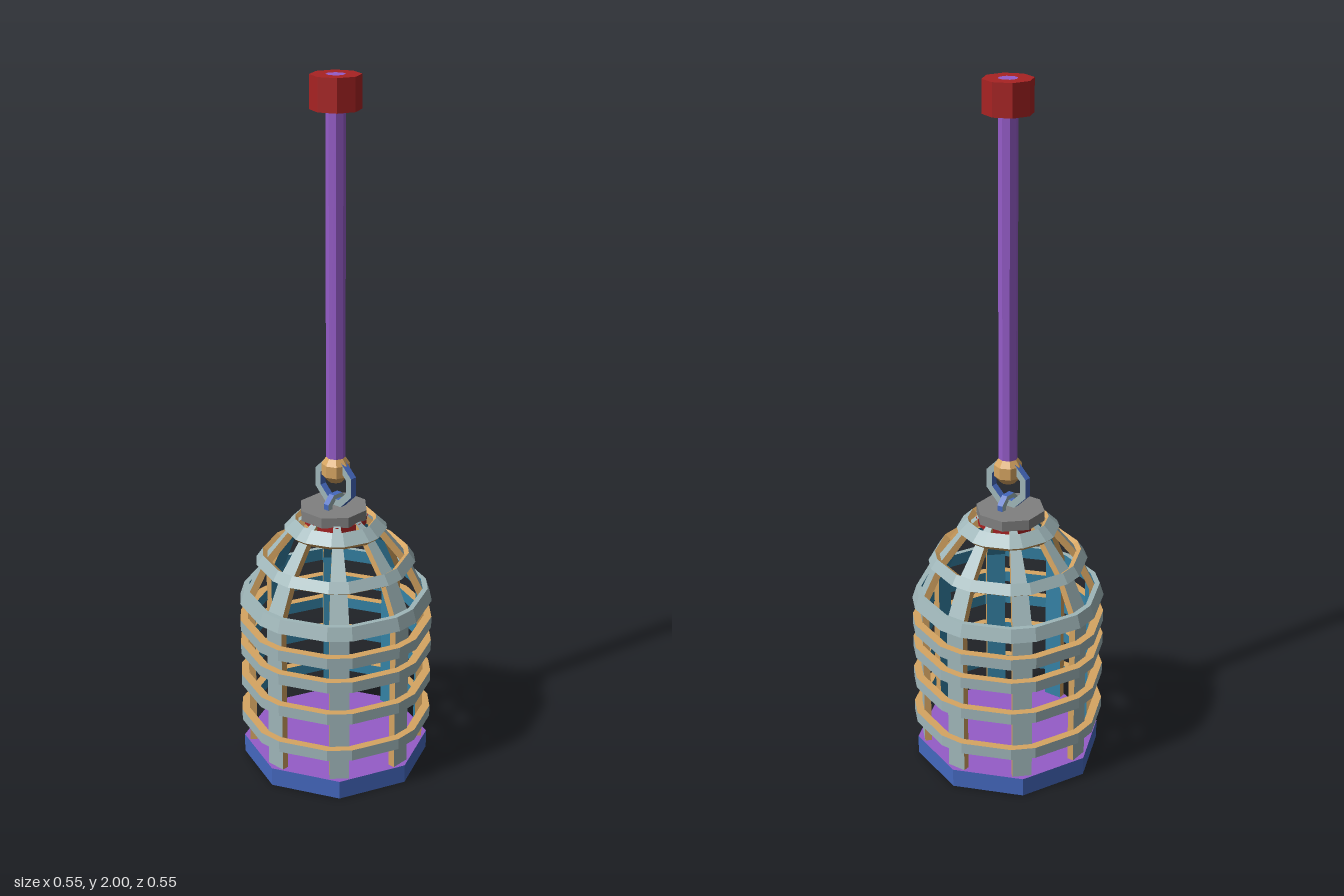
import * as THREE from 'three';

const mat = (name, color) => {
  const m = new THREE.MeshStandardMaterial({ color, flatShading: true });
  m.name = name;
  return m;
};

// Skin four-point sections into a bar; side j gets material j
function loft(sections, closed) {
  const pos = [];
  const geo = new THREE.BufferGeometry();
  const n = sections.length;
  const last = closed ? n : n - 1;
  for (let j = 0; j < 4; j++) {
    const start = pos.length / 3;
    const k = (j + 1) % 4;
    for (let i = 0; i < last; i++) {
      const s = sections[i], t = sections[(i + 1) % n];
      for (const p of [s[j], t[j], t[k], s[j], t[k], s[k]]) pos.push(...p);
    }
    geo.addGroup(start, pos.length / 3 - start, j);
  }
  geo.setAttribute('position', new THREE.Float32BufferAttribute(pos, 3));
  geo.computeVertexNormals();
  return geo;
}

// Ring around y from a profile: outer bottom, outer top, inner top, inner bottom
const ring = (profile, angles) => loft(angles.map((a) =>
  profile.map(([r, y]) => [r * Math.sin(a), y, r * Math.cos(a)])), true);

export function createModel() {
  const model = new THREE.Group();
  const steel = mat('pale steel', 0x9fb6b9);
  const tan = mat('tan', 0xd6a562);
  const teal = mat('teal', 0x3583a6);
  const purple = mat('purple', 0x955cc8);
  const red = mat('red', 0xa82323);
  const blue = mat('blue', 0x4468be);
  const grey = mat('grey', 0x808080);

  const add = (name, geo, material, y = 0, parent = model) => {
    const m = new THREE.Mesh(geo, material);
    m.name = name;
    m.position.y = y;
    parent.add(m);
    return m;
  };
  const prism = (r, h) => new THREE.CylinderGeometry(r, r, h, 8);

  // Base with purple floor and underside
  add('base', prism(0.27, 0.055), [blue, purple, purple], 0.0275);

  // Eight upright bars bending into a dome: outer radius, height, width, inner radius, inner height
  const path = [
    [0.253, 0.05, 0.056, 0.233, 0.05],
    [0.253, 0.525, 0.056, 0.233, 0.52],
    [0.202, 0.635, 0.046, 0.185, 0.625],
    [0.118, 0.74, 0.028, 0.105, 0.725],
    [0.085, 0.765, 0.02, 0.072, 0.75],
  ];
  const barGeo = loft(path.map(([r, y, w, ri, yi]) => [
    [w / 2, y, r], [-w / 2, y, r], [-w / 2, yi, ri], [w / 2, yi, ri],
  ]), false);
  const bars = new THREE.Group();
  bars.name = 'cageBars';
  model.add(bars);
  for (let i = 0; i < 8; i++) {
    add('cageBar', barGeo, [steel, tan, teal, tan], 0, bars).rotation.y = i * Math.PI / 4;
  }

  // Hoops: octagons with a short flat over each bar
  const hoopAngles = [];
  for (let i = 0; i < 8; i++) hoopAngles.push(i * Math.PI / 4 - 0.127, i * Math.PI / 4 + 0.127);
  for (const y of [0.127, 0.244, 0.344, 0.419]) {
    add('hoop', ring([[0.277, y], [0.277, y + 0.033], [0.252, y + 0.033], [0.252, y]], hoopAngles),
      [steel, tan, teal, tan]);
  }
  add('shoulderHoop', ring([[0.277, 0.504], [0.265, 0.542], [0.25, 0.542], [0.252, 0.504]], hoopAngles),
    [steel, steel, teal, tan]);
  add('domeHoop', ring([[0.228, 0.625], [0.209, 0.653], [0.192, 0.641], [0.209, 0.614]], hoopAngles),
    [steel, tan, teal, tan]);
  add('upperHoop', ring([[0.146, 0.728], [0.115, 0.758], [0.102, 0.745], [0.132, 0.715]], hoopAngles),
    [steel, tan, teal, tan]);

  // Crown
  add('crownPlate', prism(0.092, 0.02), red, 0.752);
  const cap = add('crownCap', prism(0.099, 0.03), grey, 0.775);
  cap.rotation.y = Math.PI / 8;
  cap.position.z = -0.008;

  // Two interlocked links
  const linkAngles = Array.from({ length: 8 }, (_, i) => (i + 0.5) * Math.PI / 4);
  const link = (r, t) => ring([[r, -t / 2], [r, t / 2], [r - t, t / 2], [r - t, -t / 2]], linkAngles);
  const linkMats = [blue, steel, blue, steel];
  add('largeLink', link(0.073, 0.021), linkMats, 0.865).rotation.z = Math.PI / 2;
  add('smallLink', link(0.043, 0.018), linkMats, 0.79).rotation.x = Math.PI / 2;

  // Hanging pole with knob and ceiling mount
  const knob = [[0, 0.868], [0.022, 0.868], [0.04, 0.888], [0.04, 0.922], [0.026, 0.942], [0, 0.942]];
  add('poleKnob', new THREE.LatheGeometry(knob.map(([x, y]) => new THREE.Vector2(x, y)), 8), tan);
  add('pole', prism(0.027, 1.07), purple, 1.465);
  add('ceilingMount', ring([[0.069, 1.91], [0.069, 2], [0.026, 2], [0.026, 1.91]],
    linkAngles.map((a) => a - Math.PI / 8)), [red, red, red, red]);

  return model;
}
